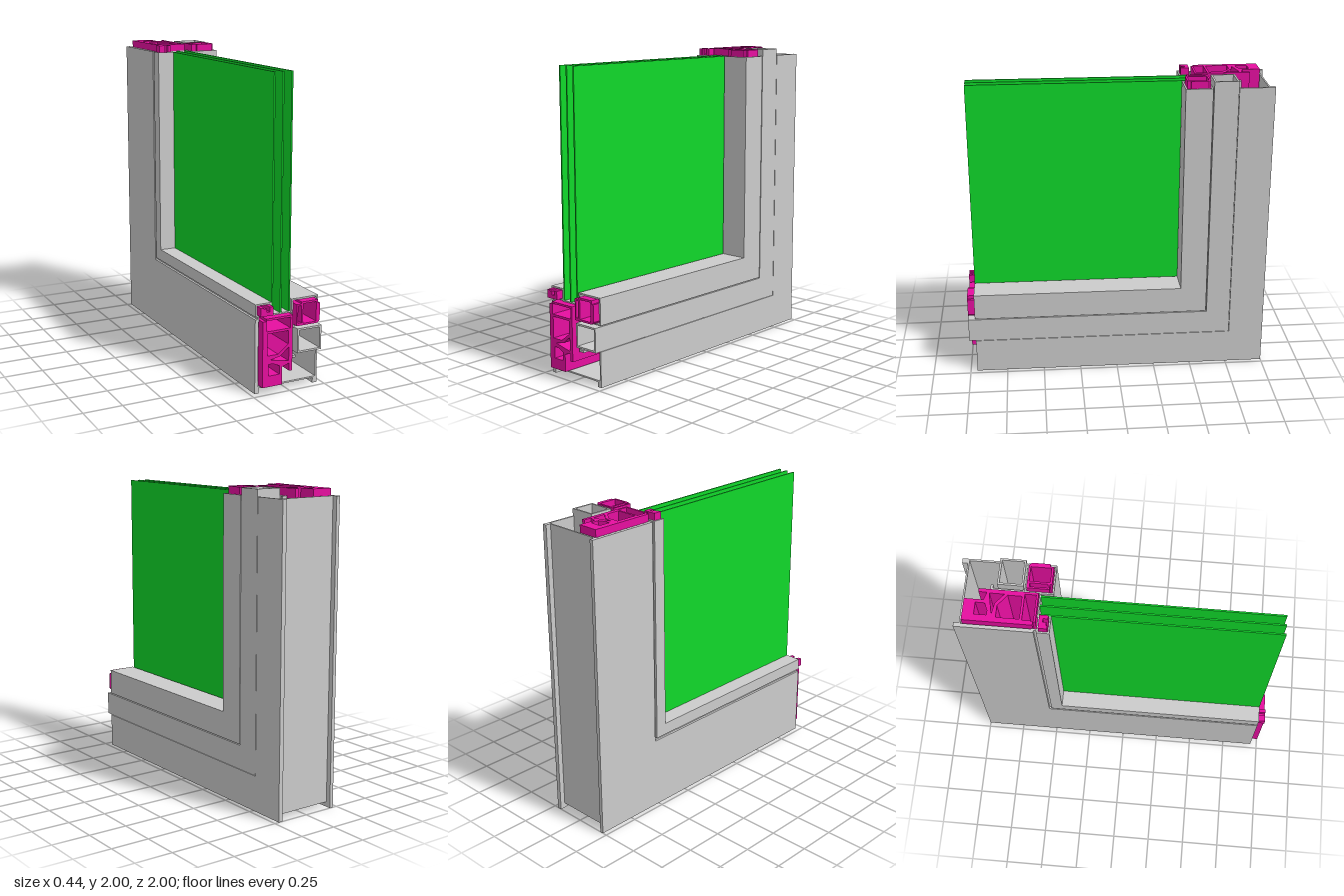
import * as THREE from 'three';

const grey = new THREE.MeshStandardMaterial({ color: 0xcccccc, flatShading: true });
const pink = new THREE.MeshStandardMaterial({ color: 0xe60fa0, flatShading: true });
const green = new THREE.MeshStandardMaterial({ color: 0x10d82a, flatShading: true });

const CUT = 0.955;  // where the metal skins stop along z
const LONG = 1;     // where the cores and the box tube stop

const rect = (x0, x1, d0, d1) => [[x0, d0], [x1, d0], [x1, d1], [x0, d1]];
const toPoints = (list) => list.map(([x, d]) => new THREE.Vector2(x, d));

// Sweeps a cross-section (x, distance from outer edge) around the mitred corner:
// down the upright, then forward along the sill.
function corner(name, outline, holes, end, material) {
  const shape = new THREE.Shape(toPoints(outline));
  holes.forEach((h) => shape.holes.push(new THREE.Path(toPoints(h))));
  const geo = new THREE.ExtrudeGeometry(shape, { depth: 1, steps: 2, bevelEnabled: false });
  const p = geo.attributes.position;
  for (let i = 0; i < p.count; i++) {
    const x = p.getX(i), d = p.getY(i), t = p.getZ(i);
    if (t < 0.25) p.setXYZ(i, x, end + 1, d - 1);
    else if (t < 0.75) p.setXYZ(i, x, d, d - 1);
    else p.setXYZ(i, x, d, end);
  }
  geo.computeVertexNormals();
  const mesh = new THREE.Mesh(geo, material);
  mesh.name = name;
  return mesh;
}

export function createModel() {
  const model = new THREE.Group();
  model.name = 'windowCornerSection';
  const add = (...args) => model.add(corner(...args));

  // Outer metal frame: two side skins joined by a recessed web
  add('outerFrame', [
    [-0.22, 0], [-0.195, 0], [-0.195, 0.033], [0.19, 0.033], [0.19, 0], [0.22, 0],
    [0.22, 0.23], [0.208, 0.23], [0.208, 0.043], [-0.198, 0.043], [-0.198, 0.475], [-0.22, 0.475],
  ], [], CUT, grey);

  // Square box tube, longer than the skins
  add('boxTube', rect(0.05, 0.22, 0.233, 0.39), [rect(0.062, 0.208, 0.245, 0.378)], LONG, grey);

  // Hooked bracket behind the tube
  add('tubeBracket', [
    [0.03, 0.19], [0.065, 0.19], [0.065, 0.205], [0.042, 0.205], [0.042, 0.385],
    [0.05, 0.385], [0.05, 0.395], [0.03, 0.395],
  ], [], CUT, grey);

  // Glazing beads: hollow metal skins around both sides of the panes
  add('rightBeadSkin', rect(0.03, 0.22, 0.396, 0.57), [rect(0.04, 0.21, 0.406, 0.56)], CUT, grey);
  add('leftBeadSkin', rect(-0.22, -0.11, 0.492, 0.57), [rect(-0.21, -0.12, 0.502, 0.56)], CUT, grey);
  add('leftBeadClip', rect(-0.205, -0.195, 0.46, 0.495), [], CUT, grey);

  // Thin lining of the glass rebate
  add('rebateLining', rect(-0.12, 0.035, 0.487, 0.495), [], CUT, grey);

  // Main insulating core with its chambers
  add('mainCore', [
    [-0.192, 0.05], [-0.055, 0.05], [-0.055, 0.165], [-0.006, 0.18], [-0.006, 0.13], [0.015, 0.13],
    [0.015, 0.486], [-0.17, 0.486], [-0.17, 0.47], [-0.192, 0.47],
  ], [
    [[-0.15, 0.12], [-0.075, 0.12], [-0.075, 0.175], [-0.12, 0.195], [-0.15, 0.195]],
    [[-0.14, 0.222], [-0.01, 0.195], [-0.01, 0.285], [-0.07, 0.235]],
    [[-0.16, 0.25], [-0.085, 0.25], [-0.015, 0.305], [-0.015, 0.39], [-0.16, 0.39]],
    rect(-0.165, 0, 0.405, 0.473),
  ], LONG, pink);

  // Bead cores
  add('rightBeadCore', [
    [0.042, 0.408], [0.19, 0.408], [0.206, 0.425], [0.206, 0.535], [0.19, 0.535], [0.19, 0.558],
    [0.075, 0.558], [0.075, 0.545], [0.042, 0.545],
  ], [rect(0.052, 0.075, 0.425, 0.535), rect(0.087, 0.18, 0.42, 0.545)], LONG, pink);
  add('leftBeadCore', [
    [-0.208, 0.504], [-0.122, 0.504], [-0.122, 0.558], [-0.145, 0.558], [-0.145, 0.528],
    [-0.165, 0.528], [-0.165, 0.55], [-0.185, 0.55], [-0.185, 0.558], [-0.208, 0.558],
  ], [], LONG, pink);

  // Three glass panes
  [-0.104, -0.045, 0.014].forEach((x, i) => {
    const size = CUT + 0.505;
    const pane = new THREE.Mesh(new THREE.BoxGeometry(0.01, size, size), green);
    pane.position.set(x, 0.495 + size / 2, CUT - size / 2);
    pane.name = 'glassPane' + (i + 1);
    model.add(pane);
  });
  return model;
}
